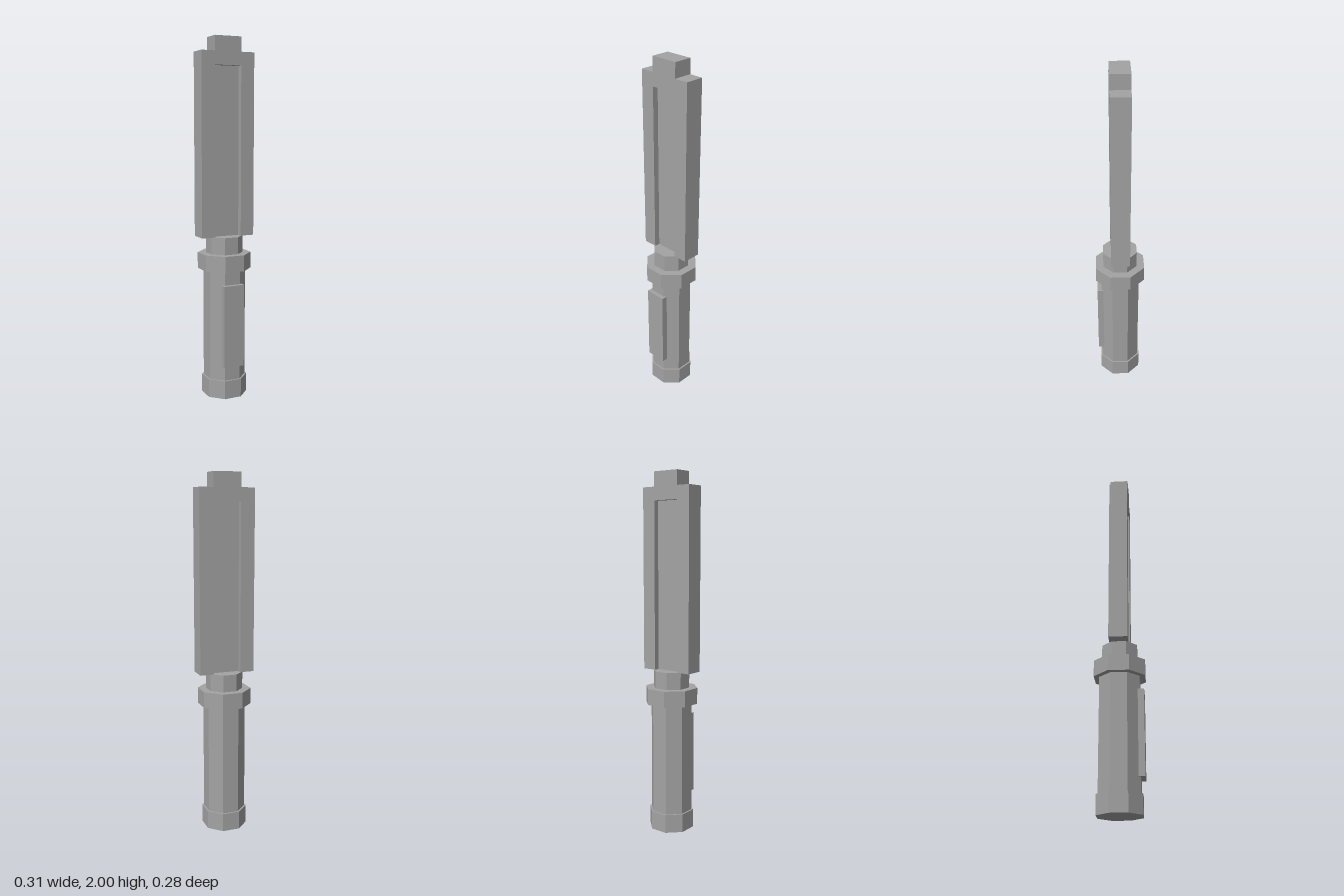
import * as THREE from 'three';

const grey = new THREE.MeshStandardMaterial({ name: 'grey', color: 0xa3a3a3 });

function add(group, name, geometry) {
  const mesh = new THREE.Mesh(geometry, grey);
  mesh.name = name;
  group.add(mesh);
  return mesh;
}

// Octagonal prism with flats facing the axes; a is the distance from axis to flat
function octagon(a, y0, y1) {
  const r = a / Math.cos(Math.PI / 8);
  return new THREE.CylinderGeometry(r, r, y1 - y0, 8)
    .rotateY(Math.PI / 8)
    .translate(0, (y0 + y1) / 2, 0)
    .toNonIndexed();
}

function flat(geometry) {
  geometry.computeVertexNormals();
  return geometry;
}

// Outline in x and y, extruded symmetrically about z = 0
function plate(points, halfDepth) {
  const shape = new THREE.Shape(points.map(([x, y]) => new THREE.Vector2(x, y)));
  return new THREE.ExtrudeGeometry(shape, { depth: 2 * halfDepth, bevelEnabled: false })
    .translate(0, 0, -halfDepth);
}

export function createModel() {
  const model = new THREE.Group();
  model.name = 'handledBlade';

  // Stacked octagonal handle
  add(model, 'pommel', flat(octagon(0.118, 0, 0.105)));
  add(model, 'grip', flat(octagon(0.109, 0.105, 0.73)));
  add(model, 'guard', flat(octagon(0.138, 0.73, 0.82)));
  add(model, 'collar', flat(octagon(0.095, 0.82, 0.915)));

  // Raised panel on the front of the grip
  add(model, 'gripPanel', new THREE.BoxGeometry(0.12, 0.465, 0.034).translate(0, 0.42, 0.115));

  // Stepped blade frame, open at the bottom
  const w = 0.157, n = 0.078, base = 0.915, shoulder = 1.92, recessTop = 1.847;
  add(model, 'bladeFrame', plate([
    [-w, base], [-n, base], [-n, recessTop], [n, recessTop], [n, base], [w, base],
    [w, shoulder], [n, shoulder], [n, 2], [-n, 2], [-n, shoulder], [-w, shoulder],
  ], 0.052));

  // Thin core that forms the groove on both faces
  add(model, 'bladeCore', plate([[-n, base], [n, base], [n, recessTop], [-n, recessTop]], 0.02));

  return model;
}
